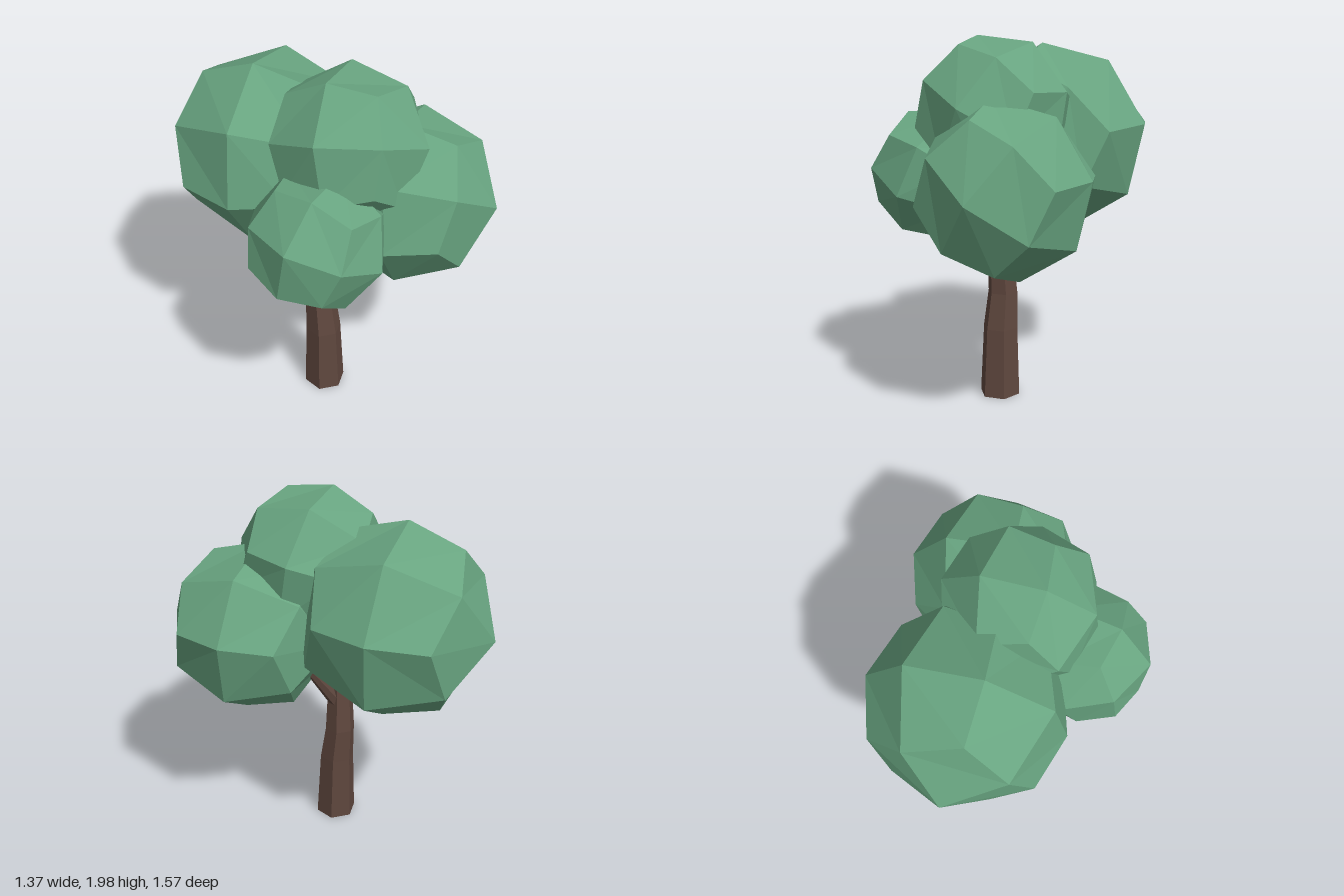
import * as THREE from 'three';

const leaf = new THREE.MeshStandardMaterial({ color: 0x68a480, flatShading: true });
const bark = new THREE.MeshStandardMaterial({ color: 0x5f473e, flatShading: true });
const vec = (p) => new THREE.Vector3(...p);

// Faceted ball: a cube with 2x2 faces per side pushed out to a sphere,
// turned so that its local x and y axes follow the two given directions.
function foliage(name, centre, radius, axisX, axisY) {
  const geo = new THREE.BoxGeometry(2, 2, 2, 2, 2, 2);
  const pos = geo.attributes.position;
  const v = new THREE.Vector3();
  for (let i = 0; i < pos.count; i++) {
    v.fromBufferAttribute(pos, i).setLength(radius);
    pos.setXYZ(i, v.x, v.y, v.z);
  }
  geo.computeVertexNormals();
  const x = vec(axisX).normalize();
  const y = vec(axisY);
  y.addScaledVector(x, -x.dot(y)).normalize();
  const z = new THREE.Vector3().crossVectors(x, y);
  const mesh = new THREE.Mesh(geo, leaf);
  mesh.name = name;
  mesh.quaternion.setFromRotationMatrix(new THREE.Matrix4().makeBasis(x, y, z));
  mesh.position.set(...centre);
  return mesh;
}

// Six-sided trunk whose rings are shifted and scaled: [x, y, z, radius].
function trunk() {
  const rings = [
    [-0.112, 0, 0.102, 0.113],
    [-0.113, 0.39, 0.094, 0.097],
    [-0.115, 0.59, 0.073, 0.083],
    [-0.125, 0.85, 0.082, 0.069],
    [-0.12, 1.25, 0.09, 0.05],
  ];
  const n = rings.length - 1;
  const geo = new THREE.CylinderGeometry(1, 1, n, 6, n);
  const pos = geo.attributes.position;
  for (let i = 0; i < pos.count; i++) {
    const [x, y, z, r] = rings[Math.round(pos.getY(i) + n / 2)];
    pos.setXYZ(i, x + pos.getX(i) * r, y, z + pos.getZ(i) * r);
  }
  geo.computeVertexNormals();
  const mesh = new THREE.Mesh(geo, bark);
  mesh.name = 'trunk';
  return mesh;
}

// Tapered six-sided branch between two points.
function branch(name, from, to) {
  const a = vec(from);
  const dir = vec(to).sub(a);
  const mesh = new THREE.Mesh(new THREE.CylinderGeometry(0.022, 0.04, dir.length(), 6), bark);
  mesh.name = name;
  mesh.position.copy(a).addScaledVector(dir, 0.5);
  mesh.quaternion.setFromUnitVectors(new THREE.Vector3(0, 1, 0), dir.clone().normalize());
  return mesh;
}

export function createModel() {
  const tree = new THREE.Group();
  tree.name = 'tree';
  tree.add(
    trunk(),
    branch('leftBranch', [-0.11, 0.74, 0.08], [0.09, 1.02, 0.1]),
    branch('rightBranch', [-0.13, 0.76, 0.08], [-0.29, 1.05, 0.12]),
    branch('backBranch', [-0.125, 0.8, 0.06], [-0.15, 1.15, -0.13]),
    foliage('topFoliage', [-0.034, 1.592, 0.196], 0.412, [0.154, 0.074, 0.372], [-0.311, 0.175, 0.131]),
    foliage('backFoliage', [-0.105, 1.405, -0.32], 0.515, [0.25, 0.415, -0.13], [0.562, -0.413, -0.22]),
    foliage('leftFoliage', [0.24, 1.257, 0.363], 0.458, [0.402, 0.05, 0.913], [0.767, -0.563, -0.307]),
    foliage('rightFoliage', [-0.362, 1.248, 0.308], 0.362, [-0.885, 0.352, 0.303], [0.24, -0.17, 0.955]),
  );
  return tree;
}
